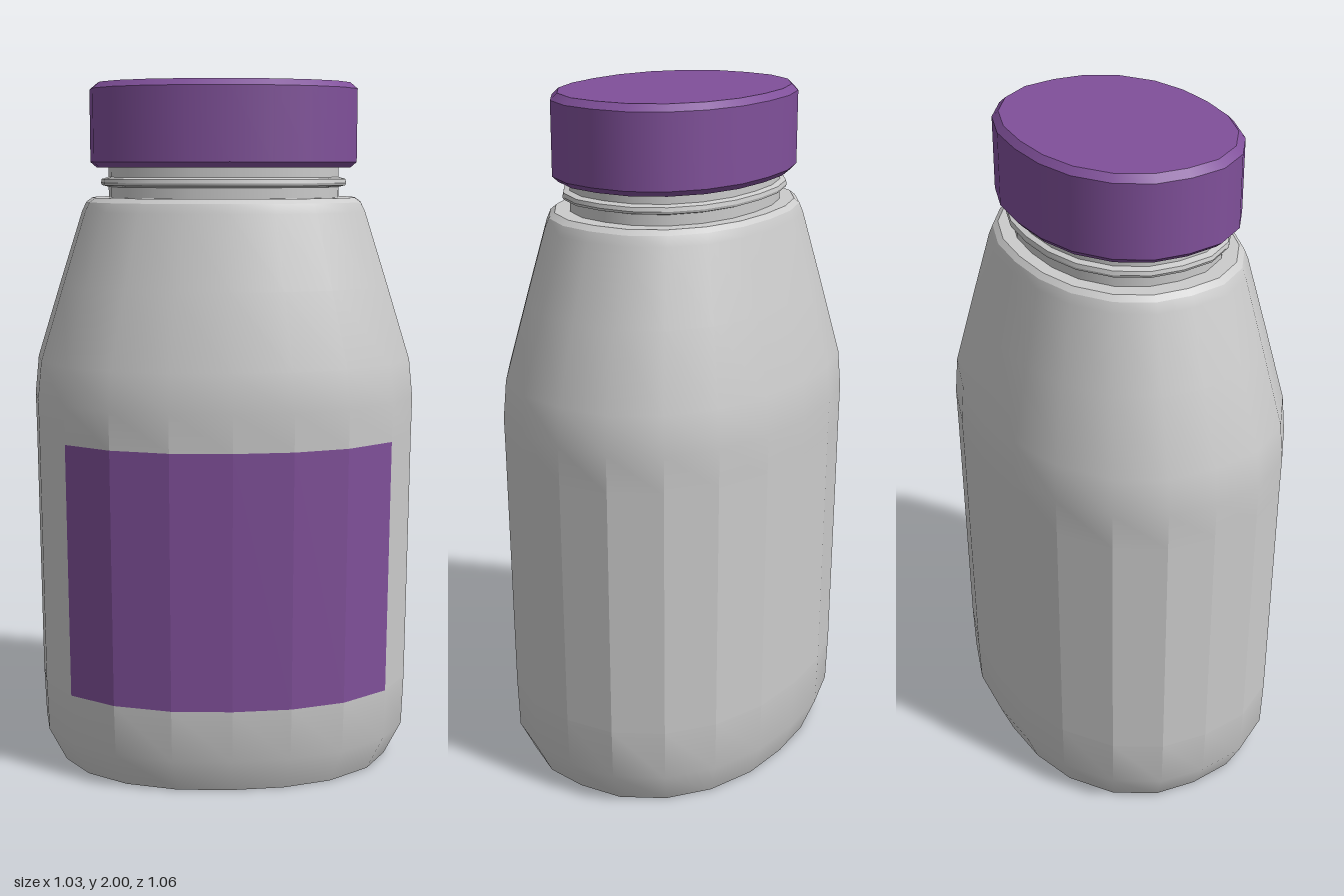
import * as THREE from 'three';

// Half of the oval cross-section (x, z); the other half is its point reflection.
const HALF = [
  [0.1, -0.53], [0.252, -0.503], [0.375, -0.418], [0.468, -0.312], [0.515, -0.168],
  [0.5, 0], [0.433, 0.15], [0.33, 0.287], [0.205, 0.41], [0.055, 0.497],
];
const OVAL = [...HALF, ...HALF.map(([x, z]) => [-x, -z])];
const N = OVAL.length;
const at = (i) => OVAL[(i + N) % N];

const plastic = new THREE.MeshStandardMaterial({ color: 0xcccccc });
const purple = new THREE.MeshStandardMaterial({ color: 0x80509a });

// Lofts the oval through rows [scale, y, faceted?]; normals are smooth unless a row is faceted.
function loft(rows, start = 0, count = N) {
  const pos = [], nor = [];
  const push = (k, i, facet) => {
    const [s, y, faceted] = rows[k];
    const [x, z] = at(i);
    const lo = rows[Math.max(k - 1, 0)], hi = rows[Math.min(k + 1, rows.length - 1)];
    const ds = hi[0] - lo[0], dy = hi[1] - lo[1];
    const [p, q] = faceted ? [at(facet), at(facet + 1)] : [at(i - 1), at(i + 1)];
    const n = new THREE.Vector3(x * ds, dy, z * ds)
      .cross(new THREE.Vector3(q[0] - p[0], 0, q[1] - p[1])).normalize();
    pos.push(x * s, y, z * s);
    nor.push(n.x, n.y, n.z);
  };
  for (let k = 0; k < rows.length - 1; k++) {
    for (let i = start; i < start + count; i++) {
      const corners = [[k, i], [k + 1, i], [k + 1, i + 1], [k, i + 1]];
      for (const c of [0, 1, 2, 0, 2, 3]) push(...corners[c], i);
    }
  }
  const geo = new THREE.BufferGeometry();
  geo.setAttribute('position', new THREE.Float32BufferAttribute(pos, 3));
  geo.setAttribute('normal', new THREE.Float32BufferAttribute(nor, 3));
  return geo;
}

export function createModel() {
  const root = new THREE.Group();
  root.name = 'bottle';
  const add = (name, material, rows, start, count) => {
    const mesh = new THREE.Mesh(loft(rows, start, count), material);
    mesh.name = name;
    root.add(mesh);
  };
  // One loft per profile segment gives crisp edges along the profile.
  const addCrisp = (name, material, profile) => {
    for (let k = 0; k < profile.length - 1; k++) add(name + (k + 1), material, profile.slice(k, k + 2));
  };

  // Base and lower body
  add('base', plastic, [[0, 0], [0.885, 0]]);
  add('lowerBody', plastic, [[0.885, 0], [0.975, 0.1], [0.985, 0.25, true]]);

  // Faceted wall, with the label filling six of its panels
  const band = [[0.985, 0.25, true], [0.997, 0.99, true]];
  add('label', purple, band, 4, 6);
  add('wall', plastic, band, 10, 14);

  // Shoulder tapering to the collar
  add('shoulder', plastic, [
    [0.997, 0.99, true], [1, 1.1], [0.98, 1.21], [0.86, 1.425], [0.74, 1.635], [0.717, 1.662],
  ]);
  addCrisp('collar', plastic, [[0.717, 1.662], [0.685, 1.675], [0.6, 1.675]]);

  // Neck with its thread ring
  addCrisp('neck', plastic, [
    [0.6, 1.675], [0.6, 1.705], [0.635, 1.71], [0.64, 1.717], [0.635, 1.728], [0.6, 1.733], [0.6, 1.765],
  ]);

  // Cap with chamfered rims
  addCrisp('cap', purple, [
    [0, 1.76], [0.66, 1.76], [0.693, 1.776], [0.693, 1.982], [0.655, 2], [0, 2],
  ]);
  return root;
}
